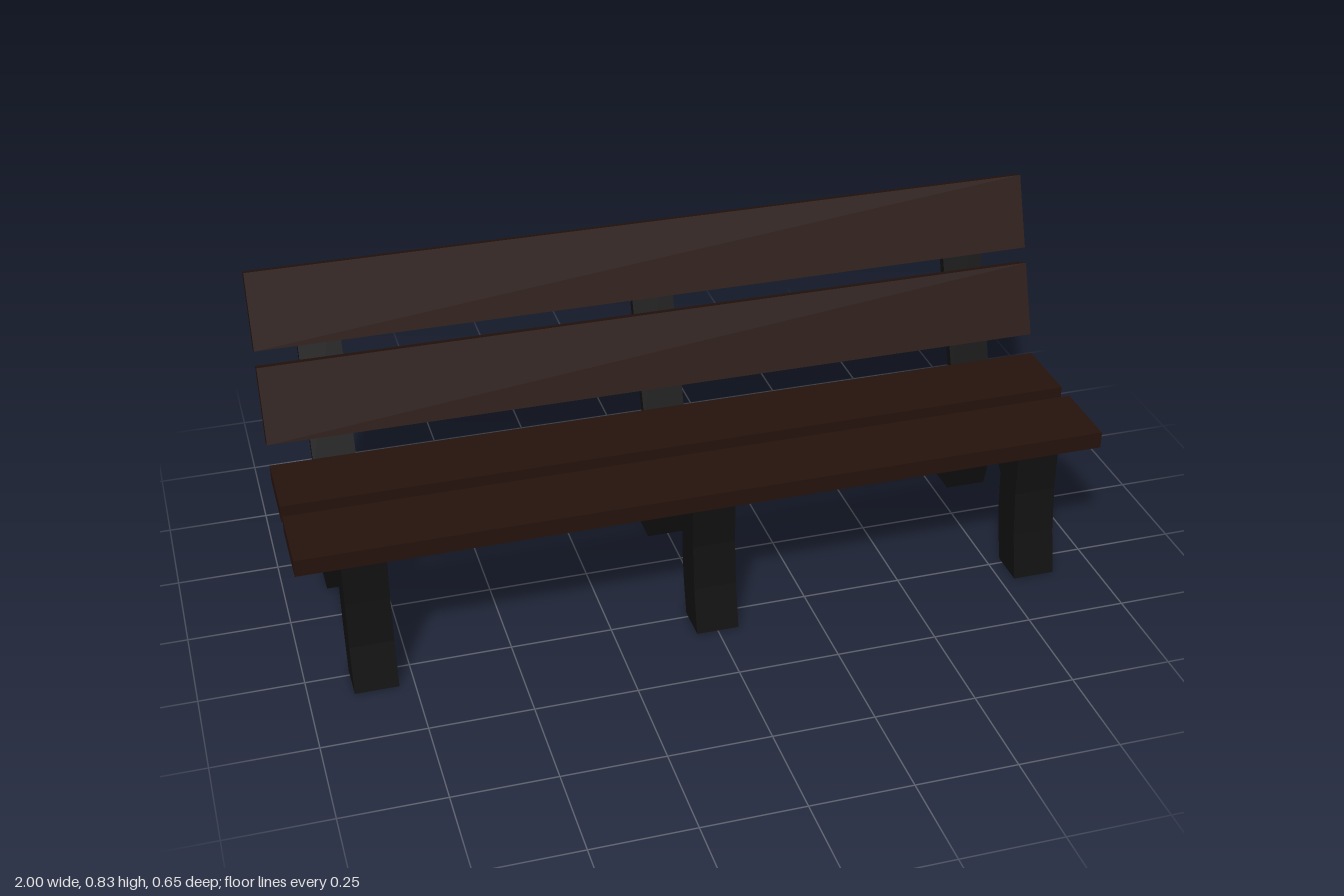
import * as THREE from 'three';

const wood = new THREE.MeshStandardMaterial({ color: 0x26130d, flatShading: true });
const iron = new THREE.MeshStandardMaterial({ color: 0x111111, flatShading: true });

// Side outline of a support as [z, y]: front leg, seat rail, back post, rear leg, inner arch
const outline = [
  [0.326, 0], [0.3, 0.115], [0.288, 0.23], [0.288, 0.34],
  [-0.145, 0.34], [-0.303, 0.775], [-0.324, 0.767], [-0.167, 0.33],
  [-0.167, 0.23], [-0.18, 0.115], [-0.207, 0],
  [-0.12, 0], [-0.098, 0.08], [-0.086, 0.15], [-0.079, 0.237], [-0.055, 0.267],
  [0.17, 0.267], [0.195, 0.237], [0.2, 0.15], [0.211, 0.08], [0.232, 0],
];

function makePlank(name, height, depth, y, z, tilt = 0) {
  const plank = new THREE.Mesh(new THREE.BoxGeometry(2, height, depth), wood);
  plank.name = name;
  plank.position.set(0, y, z);
  plank.rotation.x = tilt;
  return plank;
}

export function createModel() {
  const bench = new THREE.Group();
  bench.name = 'bench';

  // Three identical supports, extruded across the bench
  const width = 0.106;
  const shape = new THREE.Shape(outline.map(([z, y]) => new THREE.Vector2(z, y)));
  const supportGeometry = new THREE.ExtrudeGeometry(shape, { depth: width, bevelEnabled: false });
  supportGeometry.translate(0, 0, -width / 2).rotateY(-Math.PI / 2);
  [['rightSupport', -0.84], ['middleSupport', 0], ['leftSupport', 0.84]].forEach(([name, x]) => {
    const support = new THREE.Mesh(supportGeometry, iron);
    support.name = name;
    support.position.x = x;
    bench.add(support);
  });

  // Seat planks
  bench.add(makePlank('frontSeatPlank', 0.043, 0.19, 0.3625, 0.209));
  bench.add(makePlank('rearSeatPlank', 0.043, 0.19, 0.3625, -0.025));

  // Reclined backrest planks
  const recline = THREE.MathUtils.degToRad(-20);
  bench.add(makePlank('lowerBackPlank', 0.19, 0.04, 0.5155, -0.185, recline));
  bench.add(makePlank('upperBackPlank', 0.19, 0.04, 0.732, -0.264, recline));

  return bench;
}
